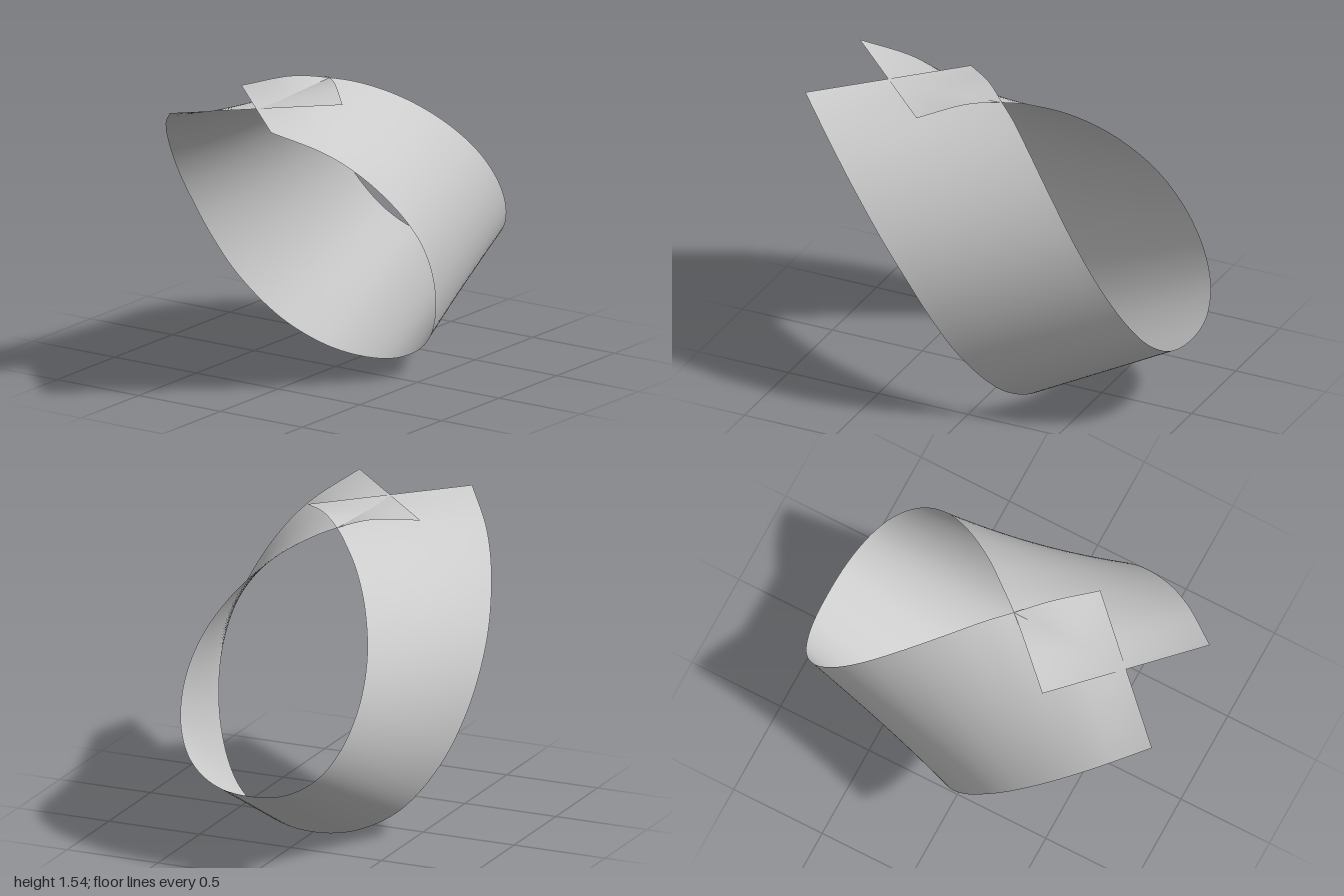
import * as THREE from 'three';

// Edge of the band from the bottom centre up to one end; mirrored in x to give the full edge
function fullEdge(half) {
  const up = half.map(([x, y, z]) => new THREE.Vector3(x, y, z));
  const mirrored = half.slice(1).reverse().map(([x, y, z]) => new THREE.Vector3(-x, y, z));
  const curve = new THREE.CatmullRomCurve3([...mirrored, ...up], false, 'centripetal');
  curve.arcLengthDivisions = 1000;
  return curve;
}

const frontEdge = fullEdge([
  [0, 0, -0.23], [0.2, 0.025, -0.215], [0.38, 0.105, -0.17], [0.49, 0.2, -0.115],
  [0.61, 0.39, 0], [0.68, 0.61, 0.125], [0.7, 0.8, 0.245], [0.68, 0.99, 0.395],
  [0.6, 1.21, 0.6], [0.49, 1.365, 0.78], [0.31, 1.5, 1],
]);

// The rear edge swings across the centre line so that the two ends cross
const rearEdge = fullEdge([
  [0, 0.42, -1], [0.2, 0.448, -0.985], [0.35, 0.54, -0.935], [0.44, 0.68, -0.855],
  [0.48, 0.87, -0.73], [0.455, 1.07, -0.575], [0.36, 1.26, -0.39], [0.23, 1.4, -0.21],
  [0.1, 1.48, -0.06], [0, 1.515, 0.055], [-0.13, 1.535, 0.19], [-0.31, 1.5, 0.38],
]);

export function createModel() {
  const model = new THREE.Group();
  model.name = 'crossedBand';

  // Ruled surface: straight lines between matching points of the two edges
  const along = 160, across = 12;
  const front = frontEdge.getSpacedPoints(along);
  const rear = rearEdge.getSpacedPoints(along);
  const geometry = new THREE.PlaneGeometry(1, 1, along, across);
  const position = geometry.attributes.position;
  const p = new THREE.Vector3();
  for (let j = 0; j <= across; j++) {
    for (let i = 0; i <= along; i++) {
      p.lerpVectors(rear[i], front[i], j / across);
      position.setXYZ(j * (along + 1) + i, p.x, p.y, p.z);
    }
  }
  geometry.computeVertexNormals();

  const material = new THREE.MeshStandardMaterial({ color: 0xcccccc, side: THREE.DoubleSide });
  const band = new THREE.Mesh(geometry, material);
  band.name = 'band';
  model.add(band);
  return model;
}
